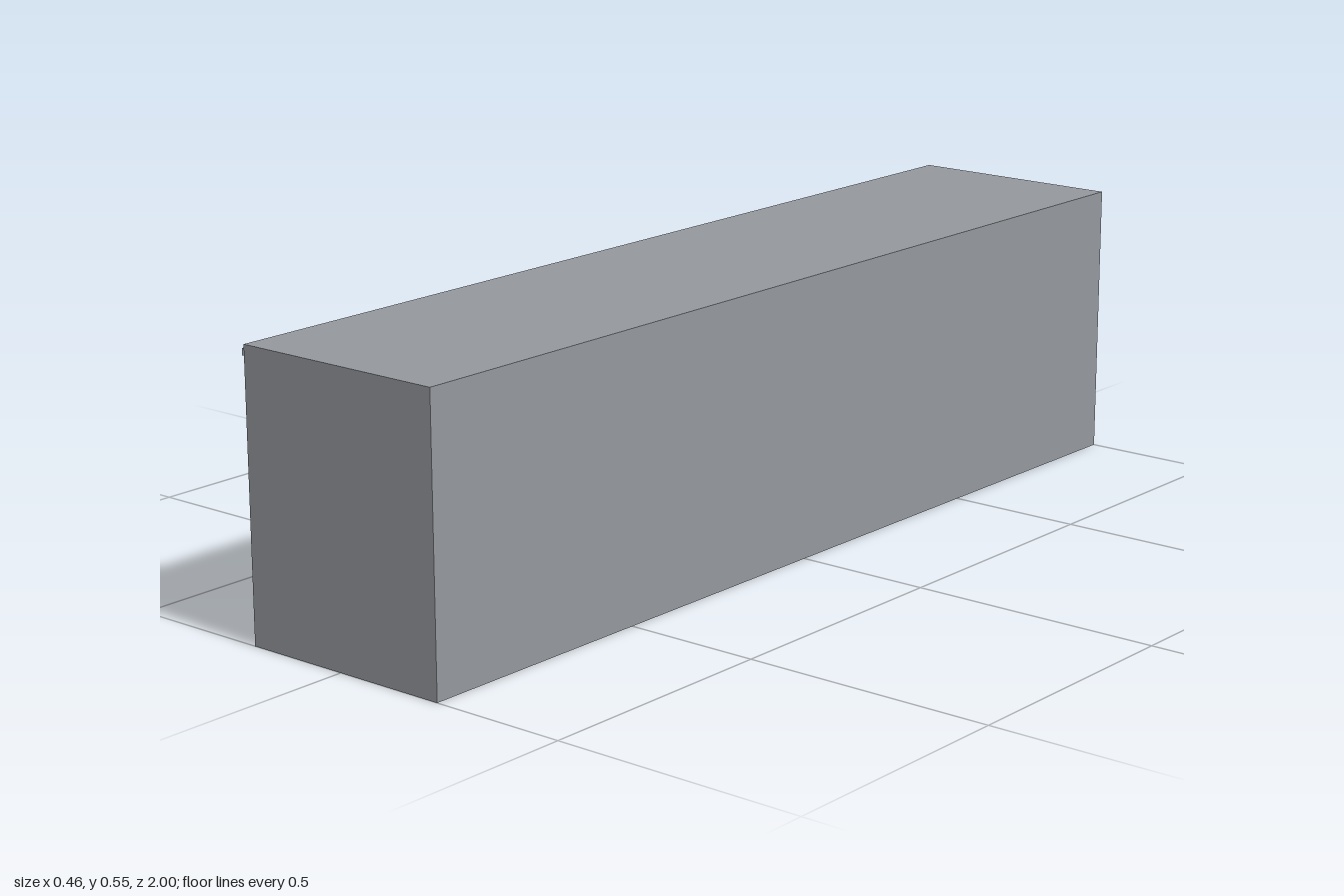
import * as THREE from 'three';

export function createModel() {
  const group = new THREE.Group();
  group.name = 'cabinet';

  const bodyGrey = new THREE.MeshStandardMaterial({ color: 0x94979c });
  bodyGrey.name = 'bodyGrey';
  const doorGrey = new THREE.MeshStandardMaterial({ color: 0xaab5b6 });
  doorGrey.name = 'doorGrey';

  const X0 = -0.213, X1 = 0.229, H = 0.547, L = 2, T = 0.01, BAYS = 5;
  const pitch = (L - T) / BAYS;

  // Box given by its minimum and maximum corners
  function panel(name, x0, y0, z0, x1, y1, z1) {
    const mesh = new THREE.Mesh(new THREE.BoxGeometry(x1 - x0, y1 - y0, z1 - z0), bodyGrey);
    mesh.position.set((x0 + x1) / 2, (y0 + y1) / 2, (z0 + z1) / 2);
    mesh.name = name;
    group.add(mesh);
  }

  // Carcass, open towards -x
  panel('floor', X0, 0, -L / 2, X1, T, L / 2);
  panel('topBoard', X0, H - T, -L / 2, X1, H, L / 2);
  panel('backBoard', X1 - T, T, -L / 2, X1, H - T, L / 2);

  // End walls and dividers
  for (let i = 0; i <= BAYS; i++) {
    const z = -L / 2 + i * pitch;
    const name = i === 0 || i === BAYS ? 'endWall' : 'divider';
    panel(name, X0, T, z, X1 - T, H - T, z + T);
  }

  // Tilted door with a grip lip along its top edge
  const profile = new THREE.Shape([
    [-0.150, 0.013], [-0.138, 0.013], [-0.207, 0.535],
    [-0.230, 0.535], [-0.230, 0.522], [-0.218, 0.522],
  ].map(([x, y]) => new THREE.Vector2(x, y)));
  const depth = pitch - T - 0.003;
  const doorGeometry = new THREE.ExtrudeGeometry(profile, { depth, bevelEnabled: false });
  for (let i = 0; i < BAYS; i++) {
    const door = new THREE.Mesh(doorGeometry, doorGrey);
    door.position.z = -L / 2 + i * pitch + T + 0.0015;
    door.name = 'tiltDoor';
    group.add(door);
  }

  return group;
}
